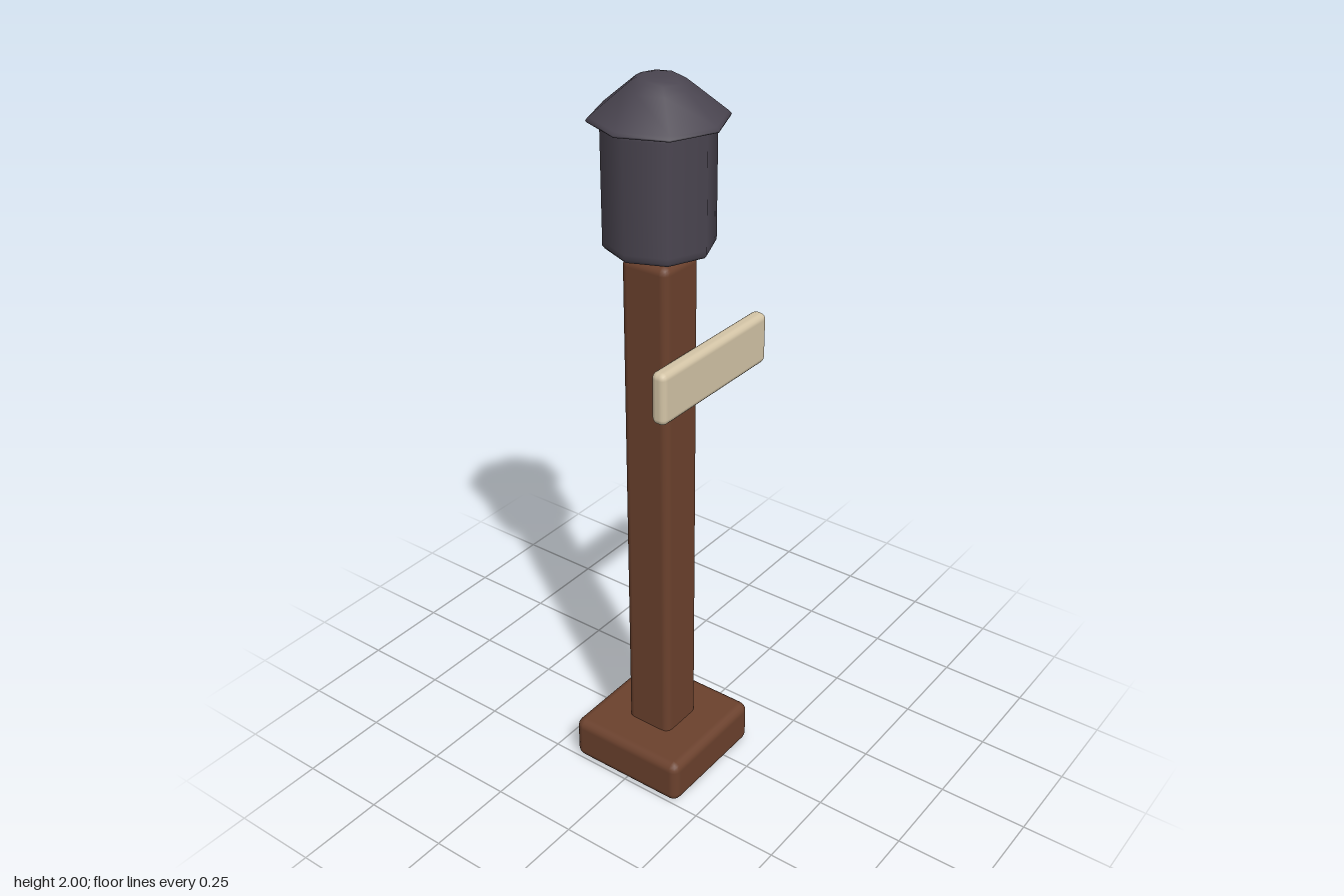
import * as THREE from 'three';
import { RoundedBoxGeometry } from 'three/addons/geometries/RoundedBoxGeometry.js';

export function createModel() {
  const group = new THREE.Group();
  const material = (name, color) => {
    const m = new THREE.MeshStandardMaterial({ color });
    m.name = name;
    return m;
  };
  const wood = material('brown wood', 0x6b412d);
  const paleWood = material('pale wood', 0xd3c4a6);
  const iron = material('dark iron', 0x4a4550);

  const add = (name, geometry, mat, x, y, z) => {
    const mesh = new THREE.Mesh(geometry, mat);
    mesh.name = name;
    mesh.position.set(x, y, z);
    group.add(mesh);
  };
  // Softly rounded block between two opposite corners
  const block = (name, mat, [x0, y0, z0], [x1, y1, z1], radius) =>
    add(name, new RoundedBoxGeometry(x1 - x0, y1 - y0, z1 - z0, 2, radius), mat,
      (x0 + x1) / 2, (y0 + y1) / 2, (z0 + z1) / 2);
  // Eight-sided turned part, profile listed from bottom to top
  const turned = (name, mat, profile) =>
    add(name, new THREE.LatheGeometry(profile.map(([r, y]) => new THREE.Vector2(r, y)), 8), mat, -0.07, 0, 0);

  // Post standing on a square foot
  block('base', wood, [-0.25, 0, -0.18], [0.11, 0.13, 0.18], 0.026);
  block('post', wood, [-0.14, 0.08, -0.071], [0, 1.555, 0.071], 0.022);

  // Sign plank fixed to the front of the post
  block('signBoard', paleWood, [-0.205, 1.165, 0.068], [0.25, 1.31, 0.112], 0.018);

  // Lantern body, floating just above the post
  turned('lanternBody', iron, [
    [0, 1.577], [0.125, 1.577], [0.134, 1.579], [0.14, 1.587], [0.14, 1.6],
    [0.14, 1.88], [0.14, 1.9], [0, 1.9],
  ]);

  // Conical lantern roof with a blunt top
  turned('lanternRoof', iron, [
    [0, 1.894], [0.16, 1.894], [0.17, 1.895], [0.172, 1.9], [0.165, 1.907],
    [0.085, 1.972], [0.065, 1.988], [0.05, 1.996], [0.03, 2], [0, 2],
  ]);

  return group;
}
